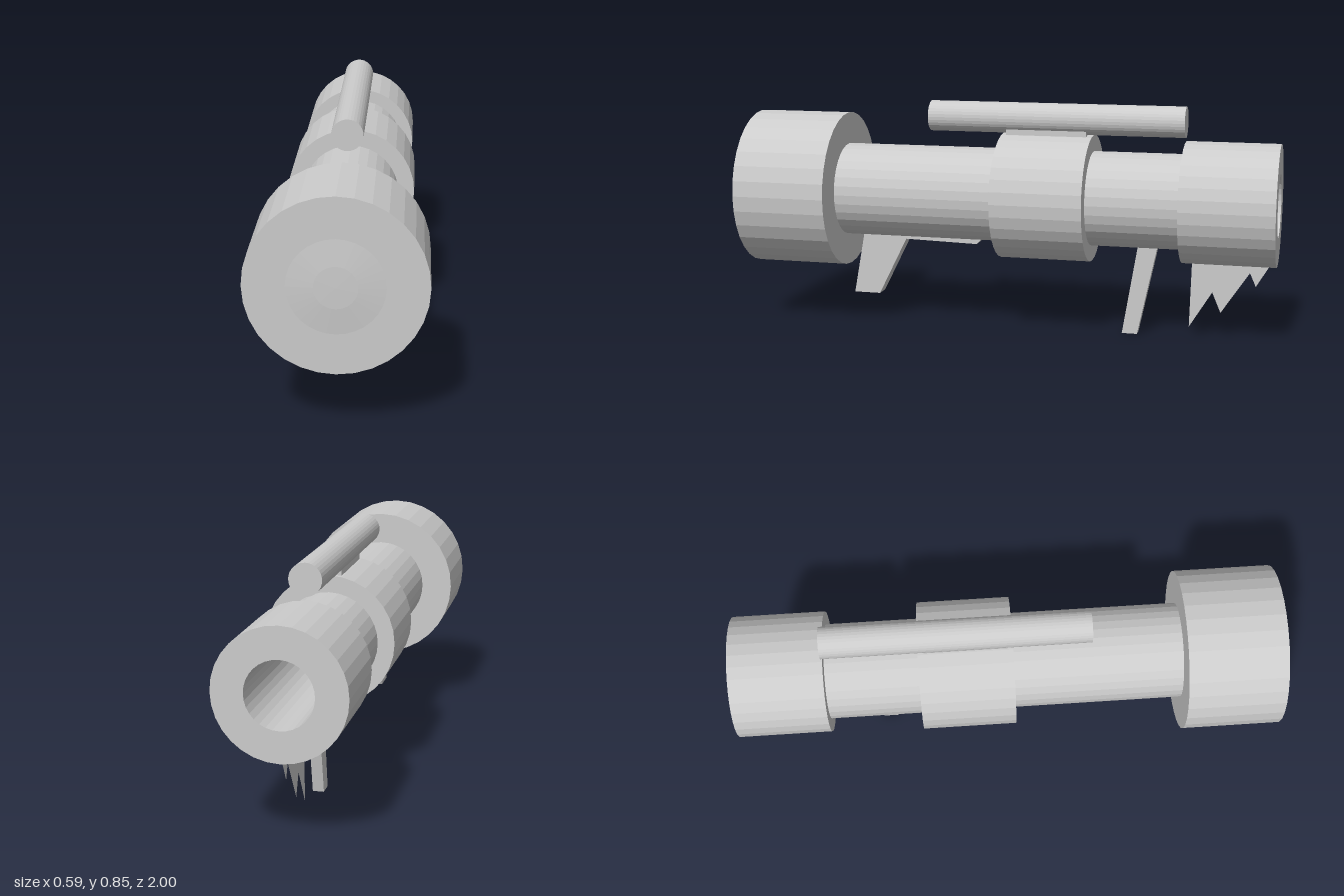
import * as THREE from 'three';

const AXIS_Y = 0.503;
const SIDES = 32;

export function createModel() {
  const model = new THREE.Group();
  model.name = 'shoulderLauncher';
  const grey = new THREE.MeshStandardMaterial({ color: 0xcccccc, flatShading: true });
  const sheet = new THREE.MeshStandardMaterial({ color: 0xcccccc, flatShading: true, side: THREE.DoubleSide });

  const add = (name, geometry, material = grey) => {
    const mesh = new THREE.Mesh(geometry, material);
    mesh.name = name;
    model.add(mesh);
    return mesh;
  };

  // Turned part along z from [radius, z] points
  const turned = (name, points, y = AXIS_Y) => {
    const profile = points.map(([r, z]) => new THREE.Vector2(r, z));
    const geometry = new THREE.LatheGeometry(profile, SIDES);
    geometry.rotateX(Math.PI / 2).translate(0, y, 0);
    return add(name, geometry);
  };

  // Side outline of [z, y] points
  const outline = (points) => new THREE.Shape(points.map(([z, y]) => new THREE.Vector2(-z, y)));

  // Side outline given a thickness across x
  const slab = (name, points, width) => {
    const geometry = new THREE.ExtrudeGeometry(outline(points), { depth: width, bevelEnabled: false });
    geometry.translate(0, 0, -width / 2).rotateY(Math.PI / 2);
    return add(name, geometry);
  };

  // Barrel parts
  turned('muzzleDrum', [[0, 0.635], [0.294, 0.635], [0.294, 0.992], [0, 0.992]]);
  turned('muzzleBoss', [[0.17, 0.991], [0.07, 0.999], [0, 1]]);
  turned('barrel', [[0.115, -0.68], [0.175, -0.68], [0.175, 0.64]]);
  turned('middleBand', [[0.17, -0.32], [0.235, -0.32], [0.235, 0.02], [0.17, 0.02]]);

  // Hollow rear collar with the bore running forward
  turned('rearCollar', [[0, 0.6], [0.115, 0.6], [0.115, -1], [0.223, -1], [0.223, -0.66], [0.17, -0.66]]);

  // Sight tube and its mount
  turned('sightTube', [[0, -0.66], [0.057, -0.66], [0.057, 0.3], [0, 0.3]], 0.795);
  add('sightMount', new THREE.BoxGeometry(0.08, 0.06, 0.3)).position.set(0, 0.727, -0.148);

  // Grips and guide rail below
  slab('frontGrip', [[0.565, 0.36], [0.38, 0.36], [0.40, 0.32], [0.51, 0.10], [0.612, 0.10]], 0.06);
  slab('gripRail', [[0.42, 0.345], [0.09, 0.345], [0.12, 0.313], [0.40, 0.32]], 0.06);
  slab('rearGrip', [[-0.495, 0.345], [-0.568, 0.345], [-0.495, 0], [-0.438, 0]], 0.04);

  // Thin jagged fin under the collar
  const fin = new THREE.ShapeGeometry(outline([
    [-0.692, 0.3], [-0.685, 0.035], [-0.768, 0.17], [-0.8, 0.095],
    [-0.903, 0.25], [-0.925, 0.2], [-0.985, 0.3],
  ]));
  add('jaggedFin', fin.rotateY(Math.PI / 2), sheet);

  return model;
}
